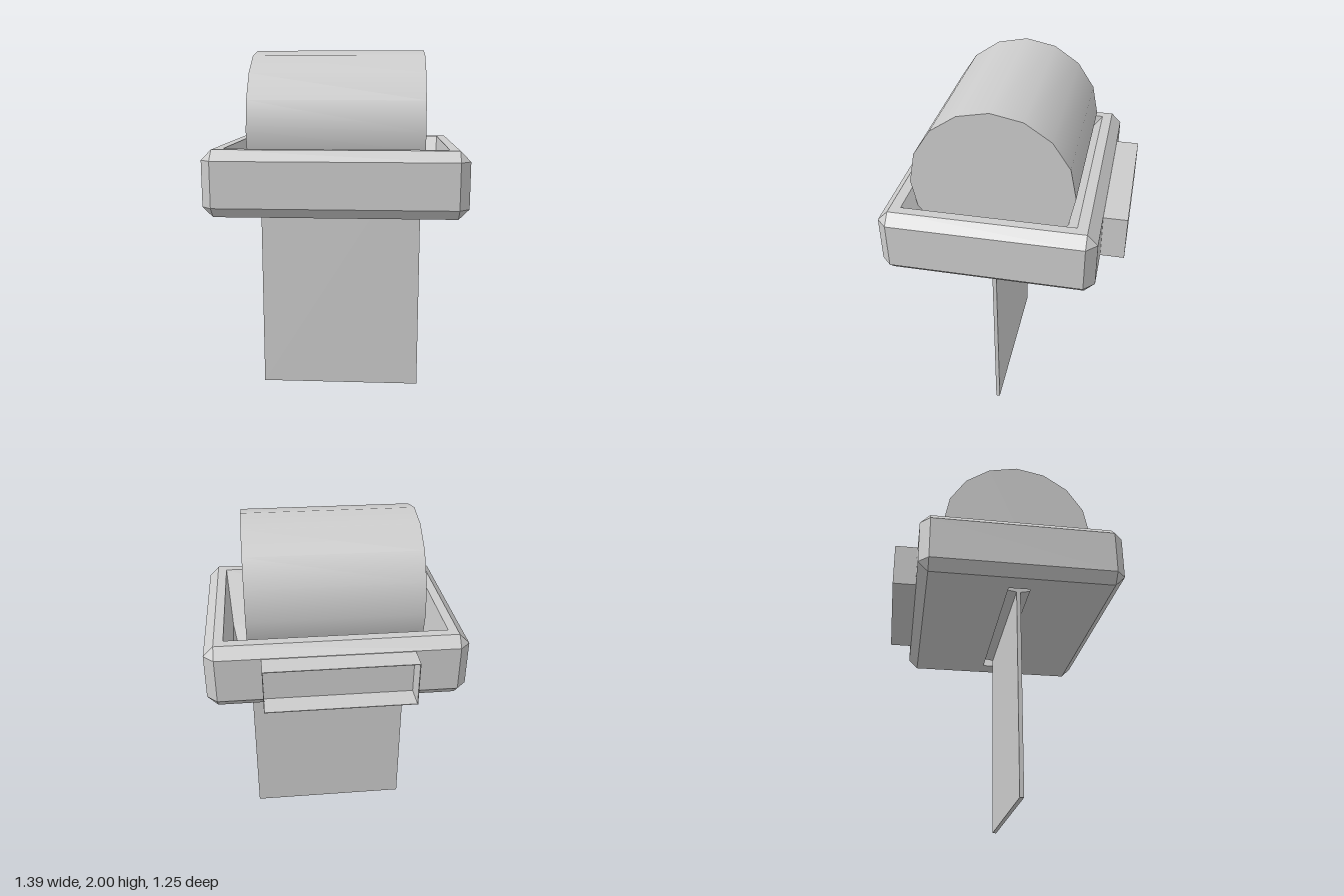
import * as THREE from 'three';

const grey = new THREE.MeshStandardMaterial({ color: 0xcccccc });
grey.name = 'light grey';

// Rectangular ring at height y with corners cut by c (always eight points)
function ring(hx, z0, z1, y, c = 0) {
  return [
    [hx, z0 + c], [hx, z1 - c], [hx - c, z1], [-hx + c, z1],
    [-hx, z1 - c], [-hx, z0 + c], [-hx + c, z0], [hx - c, z0],
  ].map(([x, z]) => new THREE.Vector3(x, y, z));
}

// Joins successive rings with flat faces
function loft(rings) {
  const pos = [];
  const tri = (a, b, c) => {
    const n = b.clone().sub(a).cross(c.clone().sub(a));
    if (n.length() > 1e-7) for (const p of [a, b, c]) pos.push(p.x, p.y, p.z);
  };
  for (let r = 0; r < rings.length - 1; r++) {
    for (let i = 0; i < 8; i++) {
      const j = (i + 1) % 8;
      const [a, b, c, d] = [rings[r][i], rings[r][j], rings[r + 1][j], rings[r + 1][i]];
      tri(a, d, c);
      tri(a, c, b);
    }
  }
  const geo = new THREE.BufferGeometry();
  geo.setAttribute('position', new THREE.Float32BufferAttribute(pos, 3));
  geo.computeVertexNormals();
  return geo;
}

export function createModel() {
  const model = new THREE.Group();
  const add = (name, geo, x = 0, y = 0, z = 0) => {
    const mesh = new THREE.Mesh(geo, grey);
    mesh.name = name;
    mesh.position.set(x, y, z);
    model.add(mesh);
    return mesh;
  };

  // Chamfered tray with a tapering trough that ends in a slot through the floor
  const c = 0.055;
  const slot = ring(0.53, 0, 0.12, 1.13);
  add('tray', loft([
    slot,
    ring(0.64, -0.445, 0.57, 1.13),
    ring(0.695, -0.5, 0.625, 1.185, c),
    ring(0.695, -0.5, 0.625, 1.43, c),
    ring(0.64, -0.445, 0.57, 1.485),
    ring(0.59, -0.39, 0.515, 1.485),
    ring(0.563, -0.18, 0.3, 1.21),
    slot,
  ]));

  // Roll lying in the trough
  const roll = add('roll', new THREE.CylinderGeometry(0.43, 0.43, 0.94, 16), 0, 1.57, 0.066);
  roll.rotation.z = Math.PI / 2;

  // Sheet hanging through the slot
  add('sheet', new THREE.BoxGeometry(0.94, 1.5, 0.022), 0, 0.75, 0.066);

  // Open mounting frame on the back
  const rect = (S, hx, hy) => new S([
    new THREE.Vector2(-hx, -hy), new THREE.Vector2(hx, -hy),
    new THREE.Vector2(hx, hy), new THREE.Vector2(-hx, hy),
  ]);
  const frame = rect(THREE.Shape, 0.4, 0.122);
  frame.holes.push(rect(THREE.Path, 0.396, 0.118));
  add('mountingFrame', new THREE.ExtrudeGeometry(frame, { depth: 0.13, bevelEnabled: false }), 0, 1.305, -0.627);

  return model;
}
